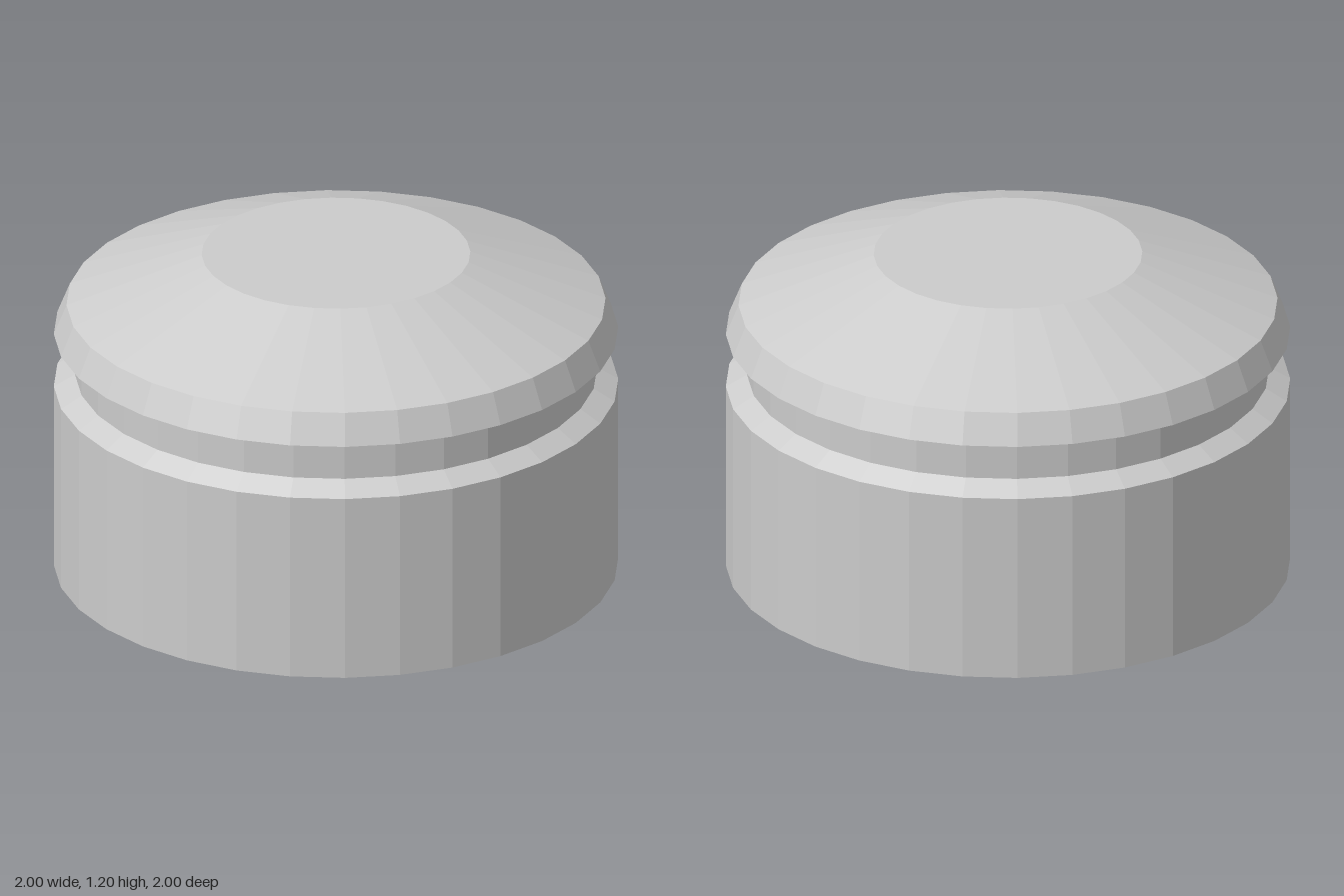
import * as THREE from 'three';

const SIDES = 32;

export function createModel() {
  const group = new THREE.Group();
  const material = new THREE.MeshStandardMaterial({ color: 0xcccccc, flatShading: true });

  // Revolve a profile of [radius, height] pairs, listed from bottom to top
  const addTurned = (name, profile) => {
    const points = profile.map(([r, y]) => new THREE.Vector2(r, y));
    const mesh = new THREE.Mesh(new THREE.LatheGeometry(points, SIDES), material);
    mesh.name = name;
    group.add(mesh);
  };

  // Straight drum with a closed base and a chamfered shoulder
  addTurned('body', [[0, 0], [1, 0], [1, 0.695], [0.925, 0.74]]);

  // Recessed groove between body and cap
  addTurned('neck', [[0.925, 0.74], [0.925, 0.88]]);

  // Overhanging cap: underside, slanted rim, sloping cone, flat top
  addTurned('cap', [[0.925, 0.88], [1, 0.898], [0.955, 1.01], [0.476, 1.198], [0, 1.198]]);

  return group;
}
